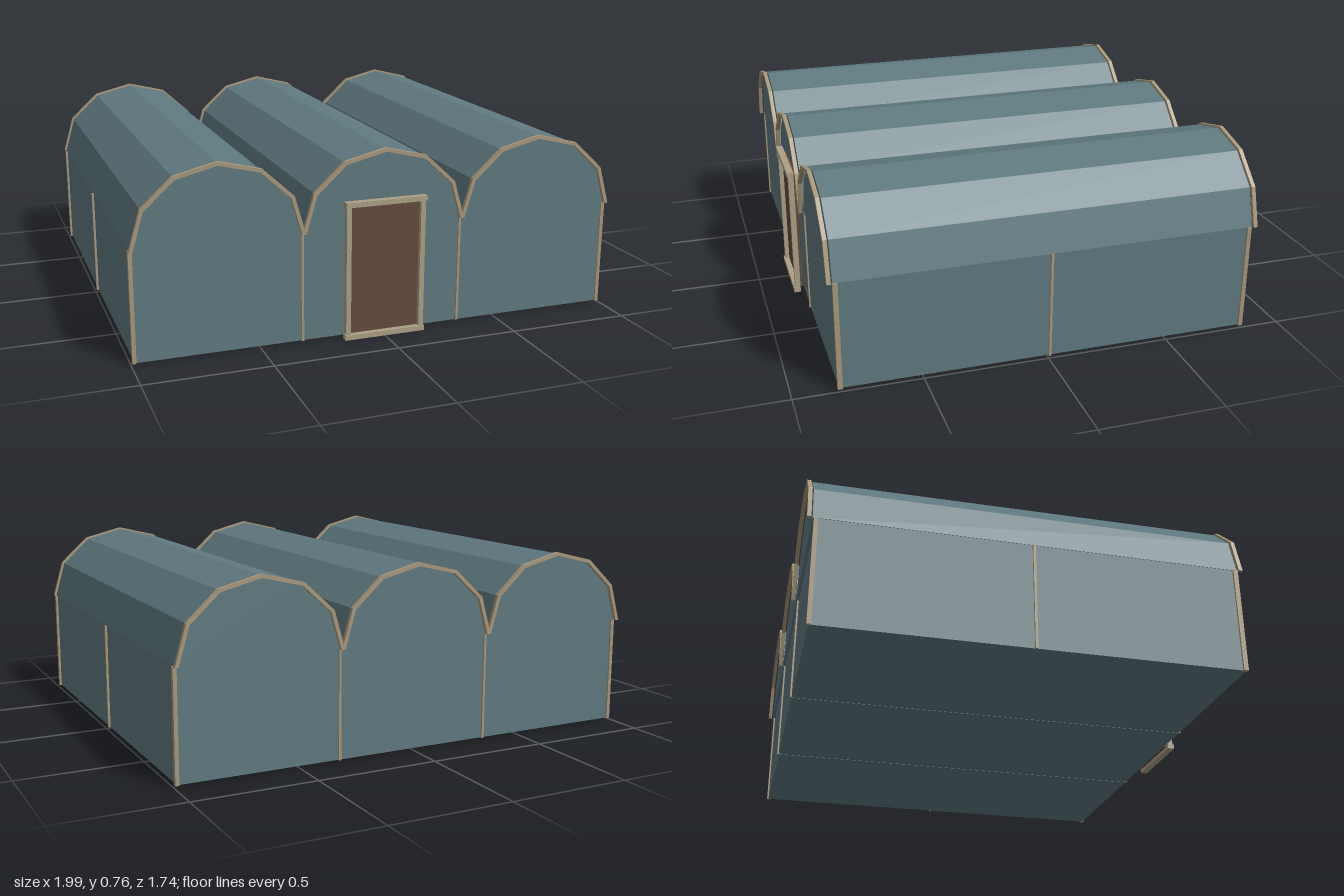
import * as THREE from 'three';

const mat = (name, color) => {
  const m = new THREE.MeshStandardMaterial({ color });
  m.name = name;
  return m;
};

const EAVE = 0.445, BAY = 0.66, RX = 0.33, RY = 0.305;

// Half-arch outline in six straight facets
function archPoints(rx, ry) {
  const pts = [];
  for (let i = 0; i <= 6; i++) {
    const a = (i * Math.PI) / 6;
    pts.push(new THREE.Vector2(rx * Math.cos(a), ry * Math.sin(a)));
  }
  return pts;
}

export function createModel() {
  const group = new THREE.Group();
  const panel = mat('blue grey panel', 0x5f797f);
  const trim = mat('tan trim', 0xa8977a);
  const frame = mat('pale door frame', 0xaca085);
  const wood = mat('brown door', 0x634b3c);

  const add = (name, geo, material, x, y, z) => {
    const mesh = new THREE.Mesh(geo, material);
    mesh.name = name;
    mesh.position.set(x, y, z);
    group.add(mesh);
    return mesh;
  };
  // Box given by its limits on each axis
  const box = (name, material, x0, x1, y0, y1, z0, z1) =>
    add(name, new THREE.BoxGeometry(x1 - x0, y1 - y0, z1 - z0), material,
      (x0 + x1) / 2, (y0 + y1) / 2, (z0 + z1) / 2);
  const extrude = (shape, depth) =>
    new THREE.ExtrudeGeometry(shape, { depth, bevelEnabled: false });

  const roofShape = new THREE.Shape(archPoints(RX - 0.001, RY));
  const outer = archPoints(RX + 0.007, RY + 0.006);
  const inner = archPoints(RX - 0.008, RY - 0.009).reverse();
  const trimShape = new THREE.Shape([...outer, ...inner]);

  // Three bays: wall block, faceted vault and an arched trim at each end
  for (const x of [-BAY, 0, BAY]) {
    box('bayWalls', panel, x - RX + 0.003, x + RX - 0.003, 0.008, EAVE, -0.838, 0.823);
    add('vaultRoof', extrude(roofShape, 1.677), panel, x, EAVE, -0.849);
    add('frontArchTrim', extrude(trimShape, 0.016), trim, x, EAVE, 0.834);
    add('backArchTrim', extrude(trimShape, 0.016), trim, x, EAVE, -0.87);
  }
  // Wall surface and floor closing the seams between bays
  for (const x of [-RX, RX])
    box('bayJoint', panel, x - 0.004, x + 0.004, 0.009, EAVE, -0.837, 0.822);

  // Corner and middle posts on the side walls
  for (const s of [-1, 1]) {
    for (const [z0, z1] of [[0.81, 0.829], [-0.845, -0.828], [-0.013, -0.003]]) {
      const a = s * 0.981, b = s * 0.996;
      box('sidePost', trim, Math.min(a, b), Math.max(a, b), 0.007, EAVE, z0, z1);
    }
    // Posts between bays on the end walls
    box('frontPost', trim, s * RX - 0.005, s * RX + 0.005, 0.007, EAVE, 0.812, 0.829);
    box('backPost', trim, s * RX - 0.005, s * RX + 0.005, 0.007, EAVE, -0.845, -0.828);
  }

  // Door with its frame
  box('door', wood, -0.148, 0.148, 0.015, 0.54, 0.828, 0.845);
  for (const s of [-1, 1])
    box('doorJamb', frame, s * 0.154 - 0.01, s * 0.154 + 0.01, 0.01, 0.545, 0.84, 0.863);
  box('doorLintel', frame, -0.168, 0.168, 0.537, 0.557, 0.84, 0.868);
  box('doorSill', frame, -0.168, 0.168, 0, 0.02, 0.84, 0.868);

  return group;
}
